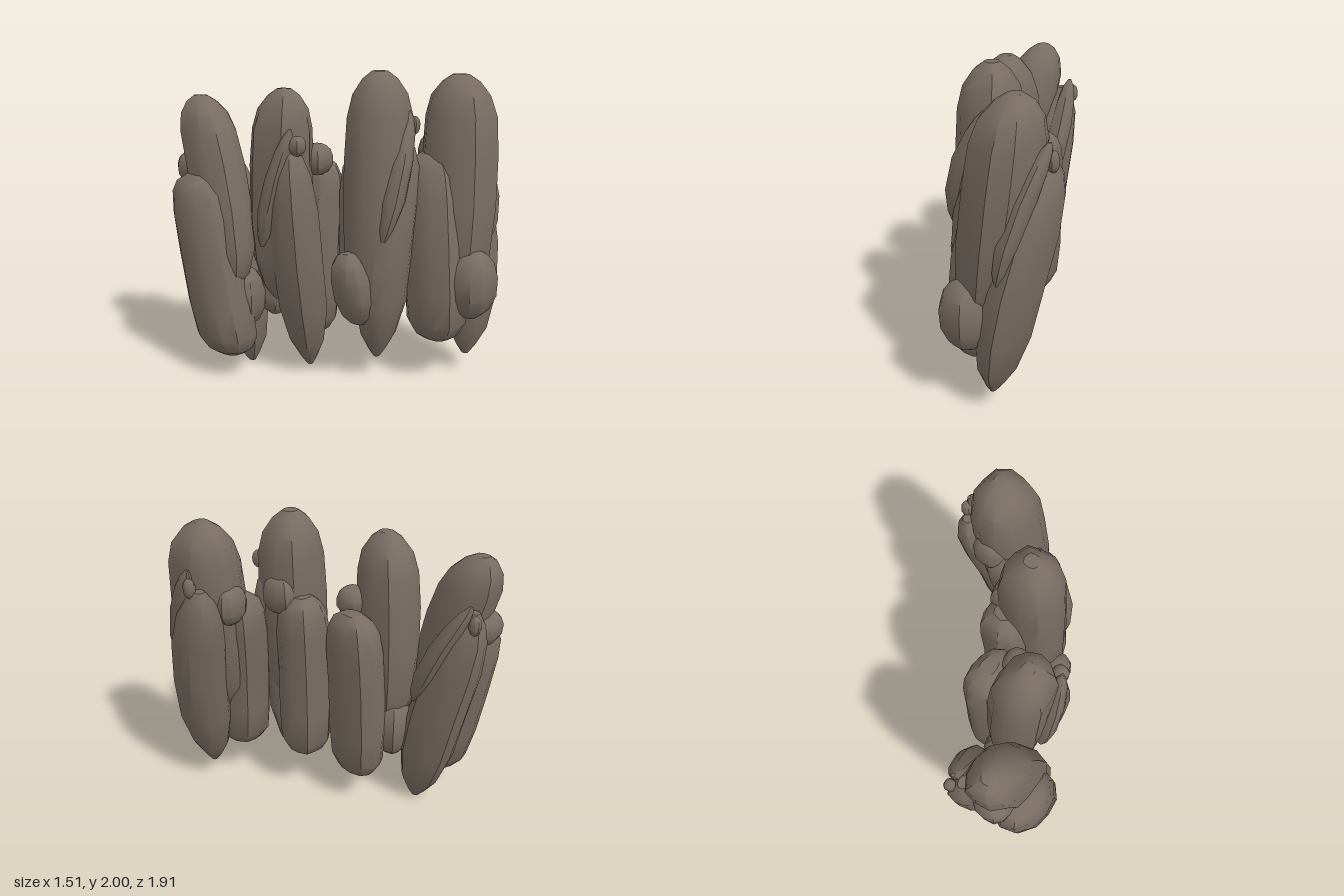
import * as THREE from 'three';
import { toCreasedNormals } from 'three/addons/utils/BufferGeometryUtils.js';

const SIDES = 12;

// Each profile lists [height fraction, width fraction] from bottom to top.
const PROFILES = {
  pillar: [[0, 0.3], [0.07, 0.62], [0.2, 0.9], [0.42, 1], [0.65, 1], [0.82, 0.95], [0.91, 0.79], [0.97, 0.5], [1, 0.22]],
  blade: [[0, 0.12], [0.04, 0.34], [0.12, 0.68], [0.28, 0.95], [0.5, 1], [0.72, 0.96], [0.87, 0.78], [0.95, 0.5], [1, 0.2]],
  slab: [[0, 0.42], [0.03, 0.7], [0.1, 0.94], [0.28, 1], [0.55, 0.98], [0.78, 0.98], [0.9, 0.88], [0.96, 0.7], [1, 0.36]],
  sliver: [[0, 0.2], [0.1, 0.65], [0.3, 1], [0.6, 1], [0.82, 0.8], [0.94, 0.5], [1, 0.15]],
  lump: [[0, 0.35], [0.1, 0.7], [0.32, 0.98], [0.6, 1], [0.82, 0.84], [0.94, 0.58], [1, 0.3]],
};

function seeded(seed) {
  let s = seed * 7919 + 17;
  return () => (s = (s * 16807) % 2147483647) / 2147483647;
}

// Lofts a closed, slightly irregular stone along a curved spine.
function stoneGeometry(kind, points, rx, rz, seed) {
  const random = seeded(seed);
  for (let i = 0; i < 5; i++) random();
  const spine = new THREE.CatmullRomCurve3(points.map((p) => new THREE.Vector3(...p)));
  const profile = PROFILES[kind];
  const ridges = Array.from({ length: SIDES }, () => 0.95 + 0.1 * random());
  const turn = random() * 0.5;
  const pos = [], index = [];
  for (const [t, w] of profile) {
    const c = spine.getPoint(t);
    for (let j = 0; j < SIDES; j++) {
      const a = (j / SIDES) * Math.PI * 2 + turn;
      const ca = Math.cos(a), sa = Math.sin(a);
      // Squarish outline, rounder than a box
      const square = Math.pow(Math.abs(ca) ** 2.6 + Math.abs(sa) ** 2.6, -1 / 2.6);
      const r = w * square * ridges[j] * (0.98 + 0.04 * random());
      pos.push(c.x + rx * r * ca, c.y, c.z + rz * r * sa);
    }
  }
  const rows = profile.length;
  for (let i = 0; i < rows - 1; i++) {
    for (let j = 0; j < SIDES; j++) {
      const k = (j + 1) % SIDES;
      const a = i * SIDES + j, b = i * SIDES + k, c = a + SIDES, d = b + SIDES;
      index.push(a, c, b, b, c, d);
    }
  }
  // End caps
  const low = spine.getPoint(0), high = spine.getPoint(1);
  const lowId = rows * SIDES, highId = lowId + 1, last = (rows - 1) * SIDES;
  pos.push(low.x, low.y, low.z, high.x, high.y, high.z);
  for (let j = 0; j < SIDES; j++) {
    const k = (j + 1) % SIDES;
    index.push(lowId, j, k, highId, last + k, last + j);
  }
  const g = new THREE.BufferGeometry();
  g.setAttribute('position', new THREE.Float32BufferAttribute(pos, 3));
  g.setIndex(index);
  return toCreasedNormals(g, THREE.MathUtils.degToRad(38));
}

export function createModel() {
  const rock = new THREE.MeshStandardMaterial({ color: 0x786c62 });
  rock.name = 'brown grey rock';
  const model = new THREE.Group();
  model.name = 'standingRocks';
  let seed = 1;
  let cluster;

  const startCluster = (name) => {
    cluster = new THREE.Group();
    cluster.name = name;
    model.add(cluster);
  };
  const stone = (name, kind, points, rx, rz) => {
    const mesh = new THREE.Mesh(stoneGeometry(kind, points, rx, rz, seed++), rock);
    mesh.name = name;
    cluster.add(mesh);
  };
  const lump = (name, [x, y, z], rx, ry, rz) =>
    stone(name, 'lump', [[x, y - ry, z], [x, y, z], [x, y + ry, z]], rx, rz);

  // Rear cluster, leaning backwards
  startCluster('rearCluster');
  stone('tallPillar', 'pillar', [[-0.53, 0.62, -0.48], [-0.47, 1.22, -0.62], [-0.45, 1.83, -0.8]], 0.17, 0.2);
  stone('pointedBlade', 'blade', [[-0.32, 0, -0.53], [-0.31, 0.76, -0.67], [-0.31, 1.53, -0.86]], 0.15, 0.19);
  stone('bluntSlab', 'slab', [[-0.54, 0.15, -0.5], [-0.57, 0.75, -0.61], [-0.58, 1.34, -0.7]], 0.18, 0.22);
  stone('sliver', 'sliver', [[-0.2, 0.85, -0.55], [-0.2, 1.22, -0.69], [-0.25, 1.59, -0.87]], 0.07, 0.07);
  lump('knob', [-0.25, 1.48, -0.91], 0.035, 0.06, 0.035);
  lump('shoulderLump', [-0.49, 1.36, -0.83], 0.12, 0.11, 0.11);
  lump('baseLump', [-0.44, 0.52, -0.46], 0.13, 0.2, 0.12);

  // Second cluster, turned the other way round
  startCluster('middleRearCluster');
  stone('tallPillar', 'pillar', [[-0.26, 0.5, -0.28], [-0.27, 1.2, -0.27], [-0.28, 1.89, -0.22]], 0.18, 0.2);
  stone('pointedBlade', 'blade', [[-0.2, 0.05, -0.1], [-0.32, 0.8, -0.09], [-0.38, 1.56, -0.1]], 0.145, 0.15);
  stone('bluntSlab', 'slab', [[-0.04, 0.22, -0.22], [-0.02, 0.85, -0.22], [0.01, 1.43, -0.2]], 0.14, 0.2);
  stone('sliver', 'sliver', [[-0.45, 0.9, -0.28], [-0.45, 1.28, -0.18], [-0.41, 1.66, -0.06]], 0.06, 0.06);
  lump('knob', [-0.38, 1.56, -0.03], 0.05, 0.06, 0.05);
  lump('shoulderLump', [-0.12, 1.44, -0.09], 0.09, 0.1, 0.09);
  lump('baseLump', [-0.22, 0.56, -0.38], 0.13, 0.2, 0.11);

  // Third cluster
  startCluster('middleFrontCluster');
  stone('tallPillar', 'pillar', [[-0.03, 0.5, 0.3], [0.02, 1.22, 0.28], [0.05, 2, 0.27]], 0.2, 0.2);
  stone('pointedBlade', 'blade', [[0, 0.15, 0.31], [0, 0.85, 0.37], [0.13, 1.6, 0.4]], 0.17, 0.15);
  stone('bluntSlab', 'slab', [[0.1, 0.31, 0.13], [0.09, 0.9, 0.14], [0.13, 1.5, 0.12]], 0.165, 0.17);
  stone('sliver', 'sliver', [[-0.13, 0.98, 0.44], [-0.02, 1.38, 0.47], [0.14, 1.76, 0.43]], 0.07, 0.07);
  lump('knob', [0.17, 1.67, 0.45], 0.035, 0.055, 0.04);
  lump('shoulderLump', [0.18, 1.49, 0.24], 0.1, 0.13, 0.12);
  stone('baseLump', 'lump', [[-0.15, 0.42, 0.27], [-0.18, 0.67, 0.25], [-0.21, 0.89, 0.23]], 0.12, 0.13);

  // Front cluster, leaning outwards
  startCluster('frontCluster');
  stone('tallPillar', 'pillar', [[0.35, 0.55, 0.67], [0.43, 1.25, 0.63], [0.5, 1.97, 0.58]], 0.205, 0.23);
  stone('pointedBlade', 'blade', [[0.45, 0.13, 0.72], [0.56, 0.88, 0.65], [0.66, 1.6, 0.46]], 0.155, 0.19);
  stone('bluntSlab', 'slab', [[0.25, 0.28, 0.61], [0.26, 0.88, 0.57], [0.34, 1.48, 0.48]], 0.185, 0.2);
  stone('sliver', 'sliver', [[0.57, 0.95, 0.81], [0.63, 1.35, 0.7], [0.69, 1.73, 0.52]], 0.065, 0.075);
  lump('knob', [0.7, 1.62, 0.5], 0.035, 0.06, 0.035);
  lump('shoulderLump', [0.46, 1.46, 0.42], 0.11, 0.13, 0.09);
  lump('baseLump', [0.33, 0.67, 0.81], 0.165, 0.22, 0.15);

  return model;
}
